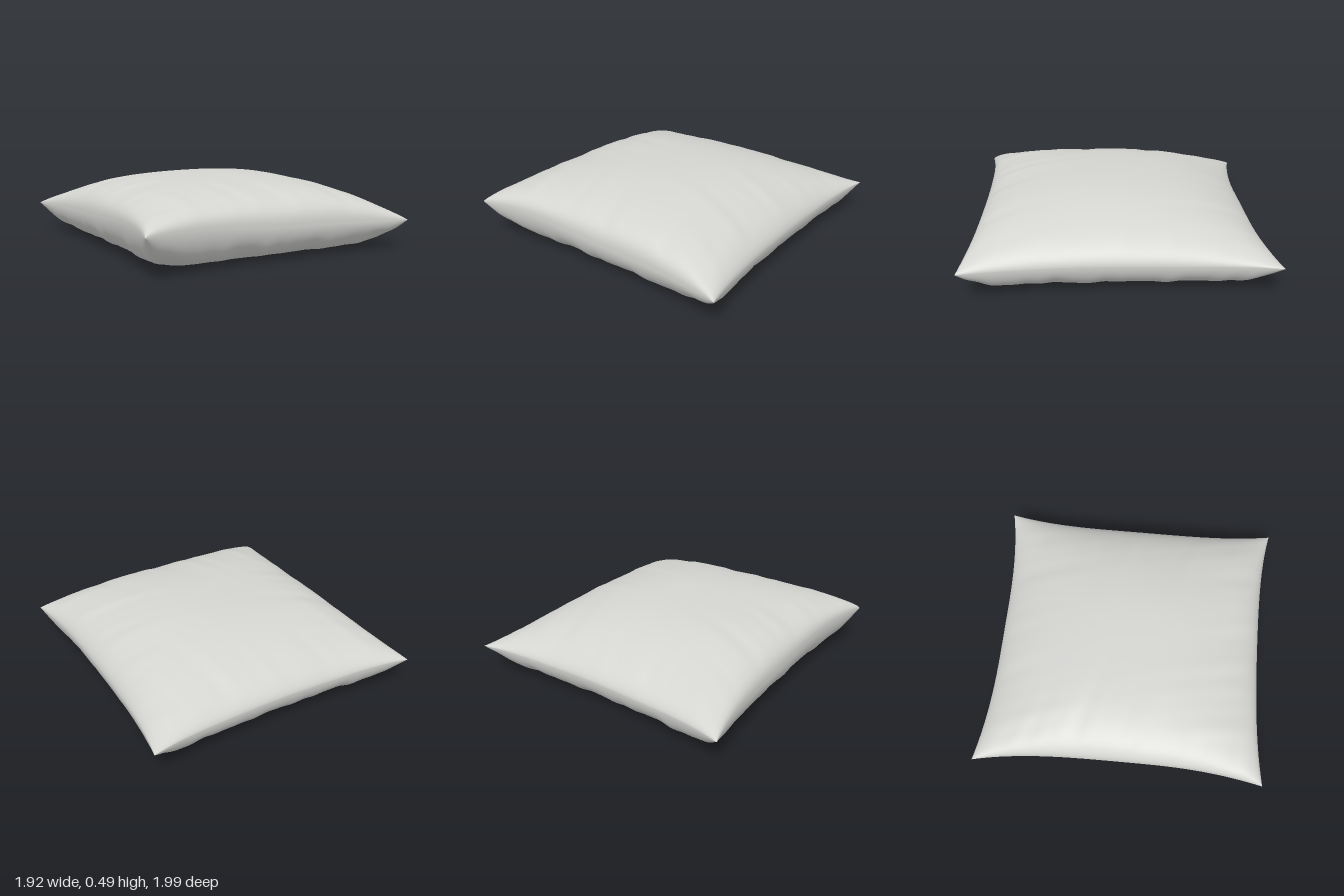
import * as THREE from 'three';

const SEGMENTS = 130;
const smooth = THREE.MathUtils.smoothstep;

// Fullness of the padding from the middle (0) to the seam (1)
const swell = (t, power, root) => Math.pow(Math.max(0, 1 - Math.pow(Math.abs(t), power)), root);

// Plan outline: sides bow inward, corners are drawn out to points
function outline(u, v) {
  const pinch = (t) => Math.pow(Math.abs(t), 3);
  const halfWidth = u < 0 ? 0.88 + 0.08 * pinch(v) : 0.895 + 0.065 * pinch(v);
  const halfDepth = v < 0 ? 0.915 + 0.075 * pinch(u) : 0.93 + 0.065 * pinch(u);
  return [u * halfWidth, v * halfDepth];
}

// Seam height: level, but lifted towards the front right corner
function seamHeight(u, v) {
  const lift = 1 - smooth(u, -1.1, 0.65);
  return 0.2 + 0.065 * lift * smooth(v, -0.9, 1) + 0.003 * Math.sin(7 * u + 5 * v);
}

// Irregular folds along one side, strongest just inside the seam
function folds(along, distance, seed) {
  const reach = 0.13 + 0.05 * Math.sin(4.3 * along + seed);
  const fade = (distance / reach) * Math.exp(1 - distance / reach);
  const a = along + 0.25 * distance * Math.sin(seed * 2.1);
  const wave = Math.sin(13 * a + seed) + 0.8 * Math.sin(23 * a + 2.7 * seed) + 0.5 * Math.sin(39 * a + seed * seed);
  return fade * wave;
}

function wrinkles(u, v, seed) {
  return folds(v, 1 - u, seed) + folds(v, 1 + u, seed + 1.7)
    + folds(u, 1 - v, seed + 3.1) + folds(u, 1 + v, seed + 4.6);
}

// Upper surface: plump, fuller at the front and right than at the back and left
function topHeight(u, v) {
  const seam = seamHeight(u, v);
  const across = u < 0 ? swell(u, 2.5, 0.36) : swell(u, 2.5, 0.58);
  const along = v < 0 ? swell(v, 2, 0.6) : swell(v, 2.5, 0.35);
  const full = across * along;
  const lumps = 0.004 * Math.sin(5 * u + 3 * v) * Math.sin(4 * v - 2 * u + 1);
  return seam + (0.492 - seam) * full + full * (lumps + 0.0035 * wrinkles(u, v, 0.6));
}

// Lower surface: rounded sides settling on a flat base
function bottomHeight(u, v) {
  const seam = seamHeight(u, v);
  const full = Math.min(1, 1.02 * swell(u, 8, 0.55) * swell(v, 8, 0.55));
  const side = full * (1 - full) * 4;
  return Math.max(0, seam * (1 - full) + side * 0.005 * wrinkles(u, v, 2.2));
}

// One fabric panel, with rows gathered closer together near the seam
function panel(height, tilt) {
  const geometry = new THREE.PlaneGeometry(2, 2, SEGMENTS, SEGMENTS).rotateX(tilt);
  const p = geometry.attributes.position;
  for (let i = 0; i < p.count; i++) {
    const u = Math.sin(p.getX(i) * Math.PI / 2);
    const v = Math.sin(p.getZ(i) * Math.PI / 2);
    const [x, z] = outline(u, v);
    p.setXYZ(i, x, height(u, v), z);
  }
  geometry.computeVertexNormals();
  return geometry;
}

export function createModel() {
  const fabric = new THREE.MeshStandardMaterial({ color: 0xd4d4d1 });
  fabric.name = 'pale grey fabric';

  const cushion = new THREE.Group();
  cushion.name = 'cushion';
  const add = (name, geometry) => {
    const mesh = new THREE.Mesh(geometry, fabric);
    mesh.name = name;
    cushion.add(mesh);
  };
  add('topPanel', panel(topHeight, -Math.PI / 2));
  add('bottomPanel', panel(bottomHeight, Math.PI / 2));
  return cushion;
}
